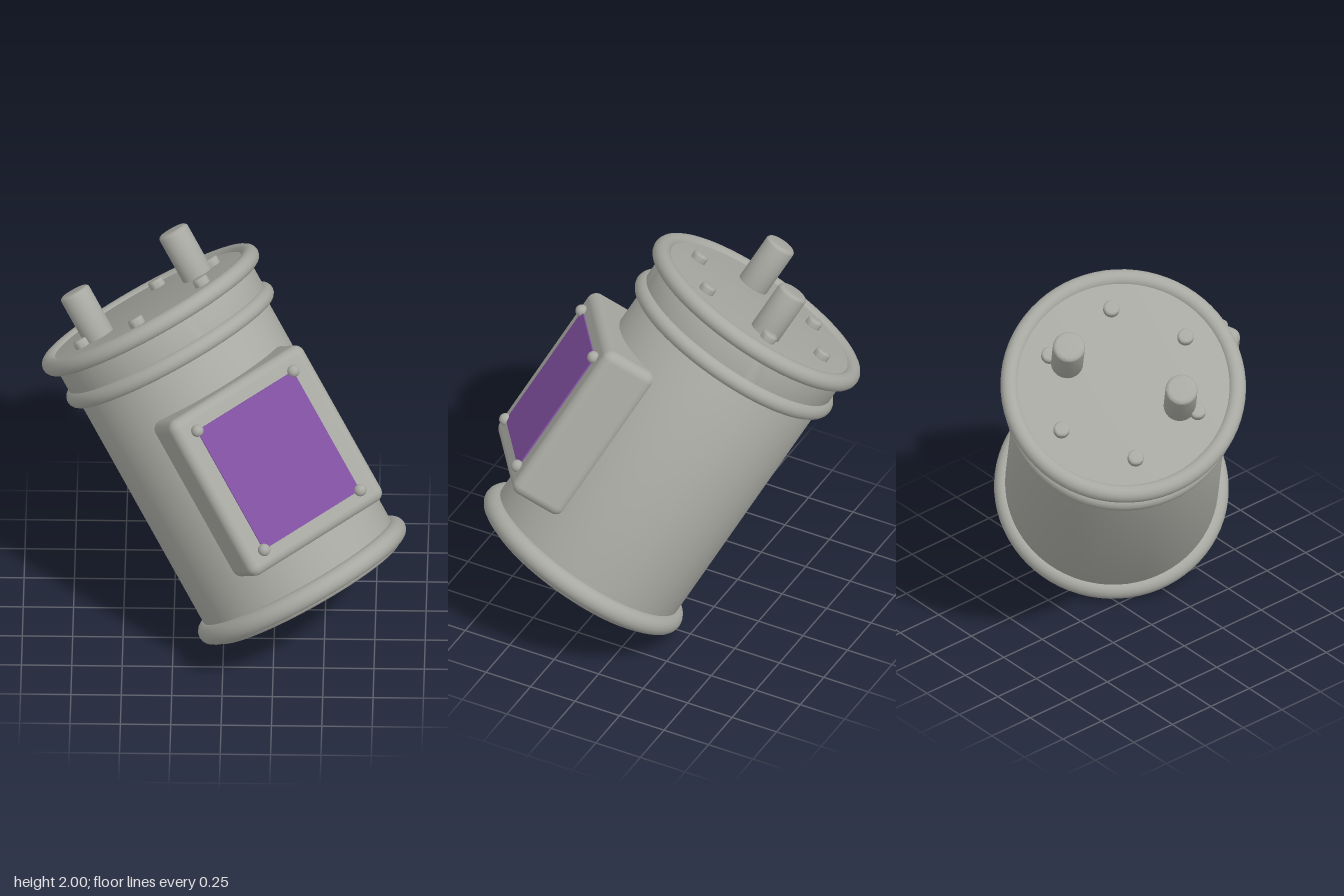
import * as THREE from 'three';
import { toCreasedNormals } from 'three/addons/utils/BufferGeometryUtils.js';
import { RoundedBoxGeometry } from 'three/addons/geometries/RoundedBoxGeometry.js';

export function createModel() {
  const metal = new THREE.MeshStandardMaterial({ color: 0xa9a9a3 });
  metal.name = 'grey metal';
  const purple = new THREE.MeshStandardMaterial({ color: 0x8050a1 });
  purple.name = 'purple panel';

  const model = new THREE.Group();
  model.name = 'canister';

  const add = (name, geometry, x = 0, y = 0, z = 0, material = metal) => {
    const mesh = new THREE.Mesh(geometry, material);
    mesh.name = name;
    mesh.position.set(x, y, z);
    model.add(mesh);
    return mesh;
  };

  // Solid of revolution with rounded bottom and top rims
  const drum = (radius, y0, y1, bottomRound, topRound, sides) => {
    const points = [new THREE.Vector2(0, y0)];
    for (let i = 0; i <= 6; i++) {
      const t = (i / 6) * Math.PI / 2;
      points.push(new THREE.Vector2(
        radius - bottomRound * (1 - Math.sin(t)), y0 + bottomRound * (1 - Math.cos(t))));
    }
    for (let i = 0; i <= 6; i++) {
      const t = (i / 6) * Math.PI / 2;
      points.push(new THREE.Vector2(
        radius - topRound * (1 - Math.cos(t)), y1 - topRound * (1 - Math.sin(t))));
    }
    points.push(new THREE.Vector2(0, y1));
    return toCreasedNormals(new THREE.LatheGeometry(points, sides), 0.6);
  };

  const ring = (name, radius, tube, y) =>
    add(name, new THREE.TorusGeometry(radius, tube, 16, 72), 0, y).rotateX(Math.PI / 2);

  // Main body, lid and the rolled rings
  add('body', drum(0.53, -0.07, 1.4, 0.03, 0.002, 72));
  add('lid', drum(0.55, 1.35, 1.58, 0.004, 0.004, 72));
  ring('bottomRing', 0.53, 0.053, 0);
  ring('lowerLidRing', 0.54, 0.043, 1.355);
  ring('upperLidRing', 0.565, 0.045, 1.556);

  // Two terminals on the lid
  const pin = drum(0.08, 0, 0.28, 0.002, 0.02, 32);
  add('leftTerminal', pin, 0.3, 1.56, 0);
  add('rightTerminal', pin, -0.3, 1.56, 0);

  // Ring of six lid bolts
  const bolt = drum(0.04, 0, 0.05, 0.002, 0.012, 24);
  for (let i = 0; i < 6; i++) {
    const t = i * Math.PI / 3;
    add('lidBolt', bolt, 0.395 * Math.cos(t), 1.57, 0.395 * Math.sin(t));
  }

  // Housing with its panel and corner rivets
  const midY = 0.678;
  add('panelHousing', new RoundedBoxGeometry(0.815, 0.89, 0.3, 5, 0.05), 0, midY, 0.495);
  add('panel', new THREE.BoxGeometry(0.586, 0.686, 0.009), 0, midY, 0.6485, purple);
  const rivet = new THREE.SphereGeometry(0.031, 20, 14);
  for (const sx of [-1, 1]) {
    for (const sy of [-1, 1]) add('panelRivet', rivet, sx * 0.293, midY + sy * 0.343, 0.656);
  }

  // Tilt the whole canister into its leaning pose
  const up = new THREE.Vector3(-0.490, 0.792, -0.365).normalize();
  const front = new THREE.Vector3(0.338, 0.557, 0.759);
  const side = new THREE.Vector3().crossVectors(up, front).normalize();
  front.crossVectors(side, up);
  model.quaternion.setFromRotationMatrix(new THREE.Matrix4().makeBasis(side, up, front));
  model.position.set(0.389, 0.382, 0.278);

  const root = new THREE.Group();
  root.name = 'leaningCanister';
  root.add(model);
  return root;
}
